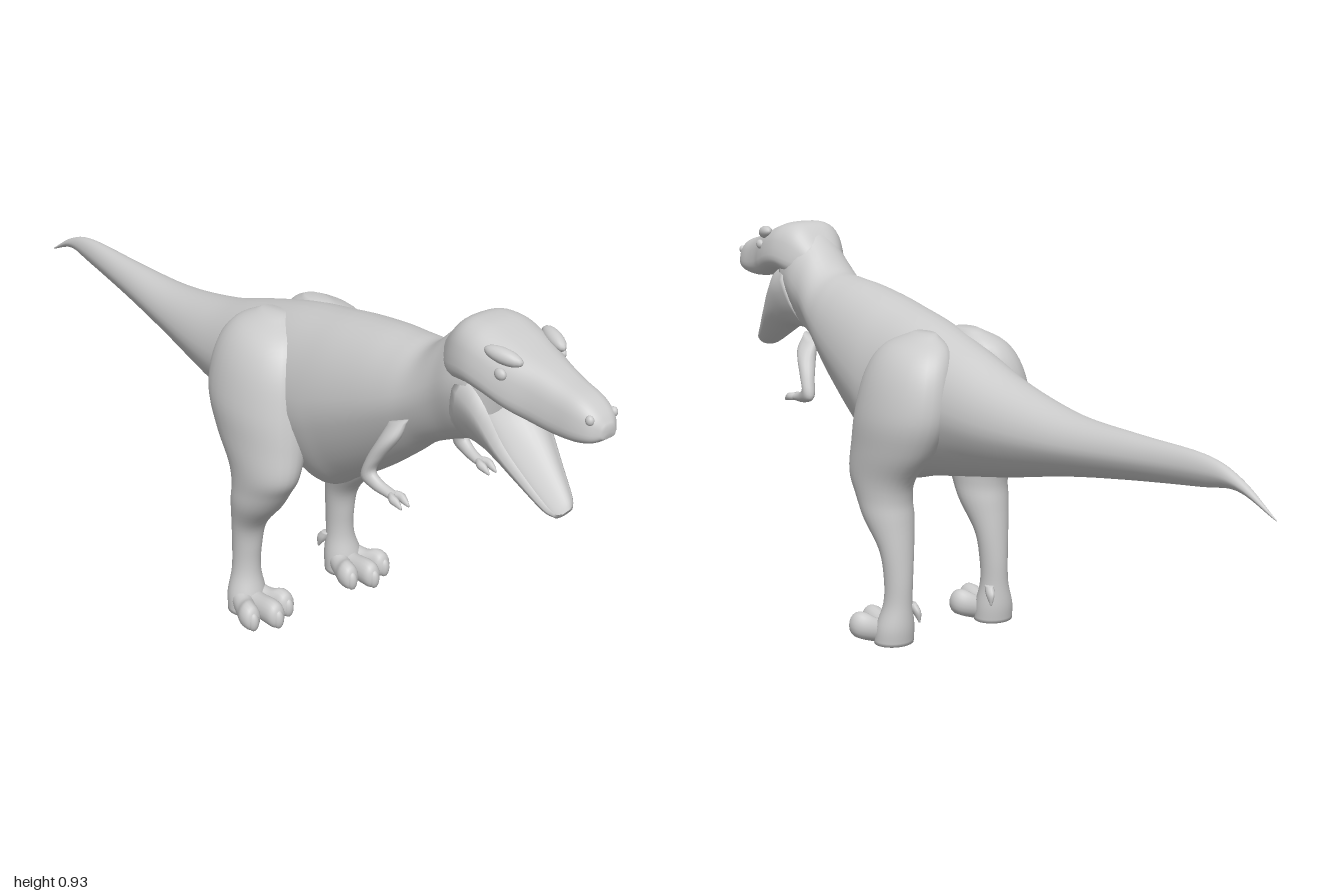
import * as THREE from 'three';

const material = new THREE.MeshStandardMaterial({ color: 0xcccccc, roughness: 0.8, side: THREE.DoubleSide });
const softPow = (v, p) => Math.sign(v) * Math.abs(v) ** p;

// Cross-sections: angle -> [across, along] in -1..1
const oval = a => [Math.cos(a), Math.sin(a)];
const keel = a => [Math.cos(a) * (1 + 0.18 * Math.min(0, Math.sin(a))), Math.sin(a)];
const skull = a => {
  const v = softPow(Math.sin(a), 0.72);
  return [softPow(Math.cos(a), 0.65) * (0.9 - 0.14 * v), v];
};
const trough = a => Math.sin(a) < -1e-6
  ? [Math.cos(a), 1 + 2 * Math.sin(a)]
  : [0.82 * Math.cos(a), 1 - 1.1 * Math.sin(a)];

// Smooth loft; each ring is [topY, topZ, bottomY, bottomZ, halfWidth, centreX]
function loft(name, rings, { shape = oval, sides = 28, steps = 5, side = 1 } = {}) {
  const curve = f => new THREE.CatmullRomCurve3(rings.map(f), false, 'catmullrom', 0.5);
  const top = curve(r => new THREE.Vector3(0, r[0], r[1]));
  const bottom = curve(r => new THREE.Vector3(0, r[2], r[3]));
  const width = curve(r => new THREE.Vector3(r[4], (r[5] || 0) * side, 0));
  const n = (rings.length - 1) * steps;
  const pos = [], index = [], ends = [];
  for (let i = 0; i <= n; i++) {
    const T = top.getPoint(i / n), B = bottom.getPoint(i / n), W = width.getPoint(i / n);
    const c = T.clone().add(B).multiplyScalar(0.5), h = T.clone().sub(B).multiplyScalar(0.5);
    if (i === 0 || i === n) ends.push([W.y, c.y, c.z]);
    for (let j = 0; j < sides; j++) {
      const [u, v] = shape(j / sides * Math.PI * 2);
      pos.push(W.y + u * Math.max(W.x, 0.0005), c.y + v * h.y, c.z + v * h.z);
      const a = i * sides + j, b = i * sides + (j + 1) % sides;
      if (i < n) index.push(a, b, b + sides, a, b + sides, a + sides);
    }
  }
  const first = pos.length / 3;
  pos.push(...ends[0], ...ends[1]);
  for (let j = 0; j < sides; j++) {
    const k = (j + 1) % sides;
    index.push(first, k, j, first + 1, n * sides + j, n * sides + k);
  }
  const geo = new THREE.BufferGeometry();
  geo.setAttribute('position', new THREE.Float32BufferAttribute(pos, 3));
  geo.setIndex(index);
  geo.computeVertexNormals();
  const mesh = new THREE.Mesh(geo, material);
  mesh.name = name;
  return mesh;
}

function ellipsoid(name, position, scale, rotation = [0, 0, 0]) {
  const mesh = new THREE.Mesh(new THREE.SphereGeometry(1, 16, 12), material);
  mesh.name = name;
  mesh.position.set(...position);
  mesh.scale.set(...scale);
  mesh.rotation.set(...rotation);
  return mesh;
}

// Upright ring for parts that run along z
const up = ([z, t, b, w, x]) => [t, z, b, z, w, x];
// Level ring for parts that run down y: y, front, back
const level = ([y, front, back, w, x]) => [y, front, y, back, w, x];

function createLeg(side) {
  const leg = new THREE.Group();
  leg.name = side > 0 ? 'leftLeg' : 'rightLeg';
  leg.add(loft('thighAndShin', [
    [0.735, 0.10, 0.03, 0.02, 0.06], [0.70, 0.17, -0.03, 0.065, 0.08],
    [0.64, 0.205, -0.06, 0.083, 0.10], [0.55, 0.225, -0.065, 0.09, 0.114],
    [0.47, 0.235, -0.03, 0.08, 0.124], [0.40, 0.235, 0.025, 0.064, 0.137],
    [0.35, 0.205, 0.042, 0.06, 0.138], [0.30, 0.17, 0.04, 0.058, 0.137],
    [0.23, 0.113, 0.034, 0.042, 0.137], [0.16, 0.1, 0.03, 0.034, 0.138],
    [0.10, 0.1, 0.03, 0.034, 0.14], [0.045, 0.115, 0.028, 0.046, 0.144],
    [0.003, 0.12, 0.032, 0.048, 0.145],
  ].map(level), { side }));

  // Three splayed toes with blunt claws
  for (const [tipX, reach] of [[0.097, 0.175], [0.143, 0.2], [0.194, 0.175]]) {
    const x = f => 0.144 + (tipX - 0.144) * f;
    leg.add(loft('toe', [
      [0.06, 0.07, 0.004, 0.03, x(0.2)], [0.11, 0.058, 0, 0.026, x(0.65)],
      [reach - 0.035, 0.066, 0, 0.025, x(0.95)], [reach - 0.012, 0.06, 0.002, 0.021, x(1)],
      [reach, 0.038, 0.012, 0.008, x(1)],
    ].map(up), { side, sides: 18 }));
    leg.add(ellipsoid('claw', [side * x(1.03), 0.026, reach - 0.008], [0.013, 0.024, 0.013]));
  }
  leg.add(loft('dewclaw', [
    [0.10, 0.06, 0.035, 0.01, 0.112], [0.08, 0.05, 0.022, 0.009, 0.107], [0.055, 0.03, 0.026, 0.002, 0.104],
  ].map(level), { side, sides: 10 }));
  return leg;
}

function createArm(side) {
  const arm = new THREE.Group();
  arm.name = side > 0 ? 'leftArm' : 'rightArm';
  arm.add(loft('upperArmAndForearm', [
    [0.67, 0.55, 0.65, 0.50, 0.014, 0.09], [0.63, 0.545, 0.61, 0.49, 0.022, 0.108],
    [0.58, 0.515, 0.565, 0.472, 0.018, 0.122], [0.545, 0.497, 0.518, 0.462, 0.015, 0.128],
    [0.528, 0.513, 0.502, 0.497, 0.013, 0.126], [0.52, 0.535, 0.498, 0.533, 0.012, 0.122],
    [0.516, 0.555, 0.498, 0.555, 0.013, 0.121],
  ], { side, sides: 16 }));
  for (const x of [0.111, 0.131]) {
    arm.add(loft('finger', [
      [0.54, 0.516, 0.5, 0.008, 0.121], [0.56, 0.517, 0.497, 0.009, x],
      [0.575, 0.512, 0.494, 0.007, x], [0.588, 0.5, 0.493, 0.002, x],
    ].map(up), { side, sides: 10 }));
  }
  return arm;
}

function createHead() {
  const head = new THREE.Group();
  head.name = 'head';
  head.add(loft('skullAndUpperJaw', [
    [0.60, 0.865, 0.79, 0.06], [0.65, 0.919, 0.79, 0.091], [0.70, 0.926, 0.80, 0.104],
    [0.75, 0.914, 0.795, 0.102], [0.80, 0.898, 0.78, 0.09], [0.85, 0.884, 0.77, 0.072],
    [0.90, 0.869, 0.765, 0.061], [0.95, 0.856, 0.768, 0.053], [0.982, 0.837, 0.777, 0.04],
    [1.0, 0.815, 0.79, 0.018],
  ].map(up), { shape: skull, sides: 36 }));
  head.add(loft('lowerJaw', [
    [0.82, 0.68, 0.65, 0.63, 0.088], [0.785, 0.742, 0.652, 0.70, 0.09],
    [0.71, 0.795, 0.645, 0.755, 0.078], [0.65, 0.85, 0.613, 0.818, 0.058],
    [0.608, 0.893, 0.582, 0.875, 0.04], [0.592, 0.907, 0.577, 0.9, 0.025],
  ], { shape: trough, sides: 32 }));
  for (const s of [-1, 1]) {
    head.add(ellipsoid('brow', [s * 0.066, 0.893, 0.785], [0.016, 0.016, 0.042], [0.15, -s * 0.3, 0]));
    head.add(ellipsoid('eye', [s * 0.079, 0.862, 0.792], [0.009, 0.012, 0.014]));
    head.add(ellipsoid('nostril', [s * 0.031, 0.826, 0.978], [0.008, 0.01, 0.009]));
  }
  return head;
}

export function createModel() {
  const model = new THREE.Group();
  model.name = 'dinosaur';
  // Tail, torso and neck in one skin
  model.add(loft('body', [
    [-1.0, 0.531, 0.528, 0.001], [-0.9, 0.59, 0.563, 0.012], [-0.8, 0.616, 0.55, 0.022],
    [-0.6, 0.617, 0.52, 0.041], [-0.4, 0.622, 0.485, 0.065], [-0.2, 0.657, 0.44, 0.094],
    [-0.05, 0.705, 0.41, 0.112], [0.1, 0.75, 0.38, 0.13], [0.22, 0.775, 0.353, 0.138],
    [0.3, 0.79, 0.4, 0.134], [0.4, 0.804, 0.47, 0.122], [0.48, 0.81, 0.535, 0.109],
    [0.54, 0.82, 0.588, 0.096], [0.6, 0.873, 0.622, 0.086], [0.65, 0.912, 0.645, 0.086],
    [0.7, 0.905, 0.668, 0.078],
  ].map(up), { shape: keel, sides: 36 }));
  model.add(createHead());
  for (const side of [-1, 1]) model.add(createLeg(side), createArm(side));
  return model;
}
